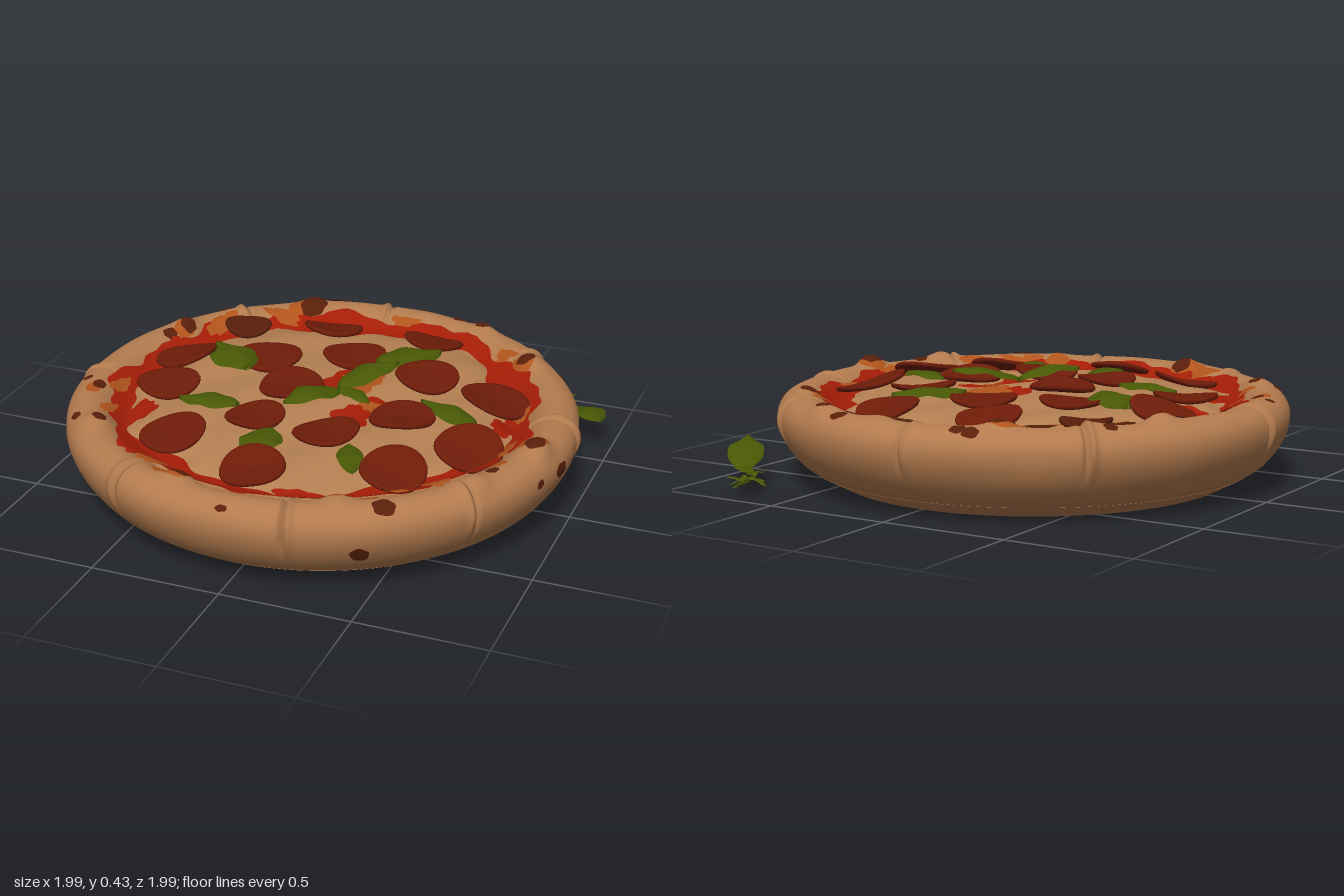
import * as THREE from 'three';
import { ParametricGeometry } from 'three/addons/geometries/ParametricGeometry.js';

const { sin, cos, exp, hypot, atan2, abs, PI } = Math;
const smooth = THREE.MathUtils.smoothstep;
const flat = (name, color) => new THREE.MeshStandardMaterial({ name, color, side: THREE.DoubleSide });

let seed = 7;
const rand = () => (seed = (seed * 16807) % 2147483647) / 2147483647;

// Crust cross-section (radius, height) from the underside over the top to the inner edge
const profile = new THREE.SplineCurve([
  [0.845, 0.046], [0.905, 0.085], [0.957, 0.15], [0.986, 0.22], [0.986, 0.28], [0.957, 0.323],
  [0.905, 0.343], [0.85, 0.331], [0.80, 0.292], [0.77, 0.25]
].map(p => new THREE.Vector2(...p)));
// Crust seams: angle in degrees and the side that carries the raised lip
const SEAMS = [[35, 1], [77, -1], [118, 1], [176.5, -1], [227.5, -1], [267, -1], [311, 1], [353, -1]]
  .map(([d, lip]) => [d * PI / 180, lip]);
// Bubbles on the crust: x, z, height
const BUBBLES = [[-0.35, -0.78, 0.22], [0.64, -0.56, 0.24], [0.88, 0.15, 0.24], [-0.22, 0.81, 0.24],
  [0.34, 0.74, 0.26], [-0.75, -0.39, 0.28], [0.38, -0.82, 0.12], [-0.69, 0.52, 0.15], [-0.6, -0.6, 0.15],
  [0.76, 0.48, 0.15], [0.1, -0.83, 0.12]];
const angleGap = (a, b) => atan2(sin(a - b), cos(a - b));

function crustPoint(a, t, off, target) {
  const p = profile.getPoint(THREE.MathUtils.clamp(t, 0, 1));
  let d = 0.01 * sin(7 * a + 3 * t) + 0.008 * sin(13 * a + 1);
  for (const [s, lip] of SEAMS) {
    const g = angleGap(a, s) * lip;
    d += 0.07 * exp(-(((g - 0.022) / 0.016) ** 2)) - 0.08 * exp(-((g / 0.01) ** 2));
  }
  d *= smooth(p.y, 0.14, 0.26);
  for (const [x, z, h] of BUBBLES) {
    const g = angleGap(a, atan2(z, x)) * p.x, q = p.x - hypot(x, z);
    d += h * exp(-(g * g + q * q) / 0.0035) * smooth(t, 0.45, 0.6);
  }
  const k = 1 + d + off / 0.15, r = 0.82 + (p.x - 0.82) * k;
  return target.set(r * cos(a), 0.2 + (p.y - 0.2) * k, r * sin(a));
}

// Heights of the sauce and the gently domed cheese
const sauceY = r => 0.289 + 0.048 * smooth(r, 0.74, 0.86);
const cheeseEdge = a => 0.735 + 0.03 * sin(5 * a + 1) + 0.018 * sin(11 * a) + 0.01 * sin(23 * a + 2);
function cheeseY(x, z) {
  const r = hypot(x, z), q = Math.min(1, r / cheeseEdge(atan2(z, x)));
  const waves = 0.008 * sin(9 * x + 2) * cos(8 * z) + 0.005 * sin(17 * x + 11 * z);
  return sauceY(r) + 0.022 * (1 - q * q) + (0.027 + waves) * (1 - q ** 14) - 0.004;
}

export function createModel() {
  const model = new THREE.Group();
  const crustMat = flat('baked crust', 0xb37b4e);
  const cheeseMat = flat('cheese', 0xb58052);
  const sauceMat = flat('tomato sauce', 0xa51d06);
  const orangeMat = flat('oily orange', 0xb0541c);
  const meatMat = flat('sausage red', 0x6f1c09);
  const charMat = flat('char brown', 0x591f0a);
  const leafMat = flat('leaf green', 0x485805);

  const add = (name, geo, mat, parent = model) => {
    const m = new THREE.Mesh(geo, mat);
    m.name = name;
    parent.add(m);
    return m;
  };
  const group = name => {
    const g = new THREE.Group();
    g.name = name;
    model.add(g);
    return g;
  };

  // Flat underside with a bevel, and the rolled crust
  const base = add('doughBase', new THREE.CylinderGeometry(0.858, 0.76, 0.052, 96), crustMat);
  base.position.y = 0.026;
  add('crust', new ParametricGeometry((u, v, p) => crustPoint(v * 2 * PI, u, 0, p), 36, 600), crustMat);

  // Sauce layer and melted cheese
  add('sauce', new ParametricGeometry((u, v, p) => {
    const a = -v * 2 * PI;
    const r = 0.002 + u * (0.825 + 0.018 * sin(9 * a) + 0.014 * sin(17 * a + 1) + 0.008 * sin(37 * a));
    p.set(r * cos(a), sauceY(r), r * sin(a));
  }, 40, 200), sauceMat);
  add('cheese', new ParametricGeometry((u, v, p) => {
    const a = -v * 2 * PI, r = 0.002 + u * cheeseEdge(a);
    p.set(r * cos(a), cheeseY(r * cos(a), r * sin(a)), r * sin(a));
  }, 50, 160), cheeseMat);

  // Ragged patch lying on a height rule
  const patch = (name, x0, z0, rx, rz, height, mat, parent) => {
    const k = rand() * 6;
    add(name, new ParametricGeometry((u, v, p) => {
      const a = -v * 2 * PI, r = 0.01 + u * (0.88 + 0.14 * sin(3 * a + k) + 0.1 * sin(7 * a + 2 * k));
      const x = x0 + rx * r * cos(a), z = z0 + rz * r * sin(a);
      p.set(x, height(x, z) + 0.004, z);
    }, 6, 36), mat, parent);
  };
  const patches = group('saucePatches');
  for (const [x, z, rx, rz] of [[0.02, -0.15, 0.07, 0.15], [0.17, 0.13, 0.08, 0.12], [0.24, 0.0, 0.1, 0.06],
    [-0.72, 0.02, 0.09, 0.05], [0.62, -0.5, 0.06, 0.1], [0.72, -0.04, 0.06, 0.09], [-0.62, 0.34, 0.06, 0.12],
    [-0.48, 0.64, 0.08, 0.08], [0.22, 0.74, 0.12, 0.05], [-0.72, -0.27, 0.07, 0.07]])
    patch('saucePatch', x, z, rx, rz, cheeseY, sauceMat, patches);
  const oil = group('orangePatches');
  for (const [x, z, rx, rz] of [[0.1, -0.16, 0.09, 0.12], [0.2, 0.02, 0.05, 0.04]])
    patch('oilPatch', x, z, rx, rz, (a, b) => cheeseY(a, b) + 0.003, orangeMat, oil);
  for (const [x, z, rx, rz] of [[-0.45, -0.68, 0.09, 0.04], [-0.66, -0.48, 0.04, 0.07], [0.55, -0.62, 0.05, 0.04],
    [-0.37, 0.74, 0.07, 0.04], [0.62, 0.53, 0.08, 0.05], [-0.78, 0.18, 0.03, 0.08], [0.79, 0.18, 0.03, 0.09],
    [0.05, -0.81, 0.07, 0.025], [-0.72, 0.4, 0.03, 0.06], [0.75, -0.16, 0.03, 0.07], [0.5, 0.64, 0.07, 0.04]])
    patch('oilPatch', x, z, rx, rz, (a, b) => sauceY(hypot(a, b)) + 0.006, orangeMat, oil);

  // Spots that follow the crust surface
  const spots = group('crustSpots');
  const spot = (a0, t0, size, mat, off) => {
    const k = rand() * 6;
    add('crustSpot', new ParametricGeometry((u, v, p) => {
      const a = -v * 2 * PI, r = size * (0.01 + u * (0.95 + 0.1 * sin(2 * a + k) + 0.06 * sin(5 * a + k)));
      crustPoint(a0 + r * cos(a) / 0.9, t0 + r * sin(a) / 0.62, off, p);
    }, 6, 24), mat, spots);
  };
  const topT = r => {
    let t = 0.46;
    while (t < 0.98 && profile.getPoint(t).x > r) t += 0.005;
    return t;
  };
  for (const [x, z, s] of [[-0.35, -0.78, 0.06], [-0.3, -0.9, 0.035], [-0.25, -0.9, 0.03], [0.27, -0.89, 0.035],
    [0.38, -0.82, 0.03], [0.64, -0.57, 0.04], [0.81, -0.53, 0.028], [0.88, 0.15, 0.045], [0.8, 0.38, 0.03],
    [0.53, 0.77, 0.045], [0, 0.96, 0.02], [-0.22, 0.81, 0.045], [-0.69, 0.52, 0.032], [-0.8, 0.51, 0.028],
    [-0.84, 0.24, 0.035], [-0.91, 0.2, 0.022], [-0.75, -0.39, 0.038], [-0.8, -0.31, 0.035], [-0.69, -0.61, 0.028]])
    spot(atan2(z, x), topT(hypot(x, z)), s, charMat, 0.004);
  for (const [deg, t, s] of [[61, 0.27, 0.032], [7, 0.4, 0.035], [16, 0.41, 0.02]])
    spot(deg * PI / 180, t, s, charMat, 0.004);
  for (const [x, z, s] of [[0.34, 0.73, 0.065], [-0.38, -0.77, 0.08], [0.63, -0.54, 0.06], [0.87, 0.13, 0.06],
    [-0.24, 0.8, 0.07], [-0.76, -0.37, 0.05], [-0.85, 0.28, 0.04], [-0.3, 0.79, 0.05], [0.79, 0.3, 0.045],
    [-0.64, -0.56, 0.04], [0.45, 0.72, 0.045]])
    spot(atan2(z, x), topT(hypot(x, z)), s, orangeMat, 0.002);

  // Thin curled sausage slices resting on the cheese slope
  const slices = group('sausageSlices');
  const section = [[0, -0.002], [0.75, -0.002], [0.95, 0.004], [1, 0.012], [0.97, 0.021], [0.85, 0.021], [0.5, 0.018], [0, 0.017]];
  const up = new THREE.Vector3(0, 1, 0);
  for (const [x, z, r] of [[-0.2, -0.62, 0.12], [0.23, -0.64, 0.12], [-0.54, -0.52, 0.095], [-0.01, -0.37, 0.125],
    [-0.32, -0.24, 0.125], [0.33, -0.27, 0.125], [0.63, -0.2, 0.14], [-0.65, -0.16, 0.125], [-0.13, 0, 0.13],
    [-0.6, 0.12, 0.122], [0.36, 0.1, 0.13], [0.66, 0.22, 0.13], [-0.16, 0.29, 0.115], [0.14, 0.32, 0.125],
    [-0.4, 0.5, 0.125], [0.46, 0.48, 0.125], [-0.01, 0.66, 0.125]]) {
    const geo = new THREE.LatheGeometry(section.map(([a, y]) => new THREE.Vector2(a * r, y)), 32);
    const pos = geo.attributes.position, k = rand() * 6;
    for (let i = 0; i < pos.count; i++) {
      const px = pos.getX(i), pz = pos.getZ(i), a = atan2(pz, px), w = hypot(px, pz) / r;
      pos.setY(i, pos.getY(i) + w * w * (0.004 + 0.009 * sin(2 * a + k)));
      pos.setX(i, px * (1 + 0.03 * sin(2 * a + k)));
    }
    geo.computeVertexNormals();
    const m = add('sausageSlice', geo, r < 0.1 ? charMat : meatMat, slices);
    m.position.set(x, Math.max(0.318, cheeseY(x, z) + 0.008), z);
    m.quaternion.setFromUnitVectors(up, new THREE.Vector3(
      (cheeseY(x - 0.06, z) - cheeseY(x + 0.06, z)) / 0.12, 1,
      (cheeseY(x, z - 0.06) - cheeseY(x, z + 0.06)) / 0.12).normalize());
  }

  // Pointed leaf from base to tip, arched along its length and folded at the midrib
  const leaf = (name, b, t, width, arch, parent) => {
    const from = new THREE.Vector3(...b), to = new THREE.Vector3(...t);
    const side = new THREE.Vector3().subVectors(to, from).cross(up).normalize();
    add(name, new ParametricGeometry((u, v, p) => {
      const s = 2 * v - 1, w = width / 2 * (0.02 + 0.98 * sin(PI * u ** 0.85) ** 0.8);
      p.lerpVectors(from, to, u).addScaledVector(side, s * w);
      p.y += arch * sin(PI * u) - 0.12 * width * s * s + 0.03 * width * abs(s) * sin(14 * u);
    }, 16, 8), leafMat, parent);
  };
  const leaves = group('herbLeaves');
  for (const [b, t, w, h] of [
    [[0.1, 0.368, -0.32], [0.31, 0.365, -0.51], 0.18, 0.012], [[0.05, 0.375, -0.02], [0.23, 0.425, -0.22], 0.14, 0.02],
    [[0.07, 0.375, 0], [-0.07, 0.4, 0.23], 0.14, 0.025], [[0.06, 0.375, -0.02], [0.21, 0.365, 0.05], 0.08, 0.01],
    [[-0.35, 0.37, -0.08], [-0.57, 0.362, -0.27], 0.19, 0.012], [[0.64, 0.348, 0.06], [0.38, 0.358, -0.06], 0.12, 0.012],
    [[-0.26, 0.352, 0.21], [-0.51, 0.342, 0.22], 0.13, 0.012], [[-0.06, 0.352, 0.36], [-0.07, 0.342, 0.58], 0.16, 0.015],
    [[0.25, 0.35, 0.38], [0.34, 0.345, 0.58], 0.1, 0.012]])
    leaf('herbLeaf', b, t, w, h, leaves);

  // Loose sprig beside the crust
  const sprig = group('looseSprig');
  leaf('sprigLeaf', [0.8, 0.07, -0.79], [0.968, 0.15, -0.56], 0.14, 0.025, sprig);
  const stem = new THREE.CatmullRomCurve3([[0.8, 0.07, -0.79], [0.74, 0.05, -0.82], [0.7, 0.05, -0.88], [0.67, 0.055, -0.99]]
    .map(p => new THREE.Vector3(...p)));
  add('sprigStem', new THREE.TubeGeometry(stem, 16, 0.007, 6), leafMat, sprig);
  for (let i = 0; i < 14; i++) {
    const p = stem.getPoint(0.15 + 0.65 * i / 14), a = i * 2.4, l = 0.05 + 0.04 * rand();
    leaf('sprigLeaflet', p.toArray(), [p.x + l * cos(a), p.y + (rand() - 0.5) * 0.06, p.z + l * sin(a)], 0.026, 0.005, sprig);
  }
  return model;
}
